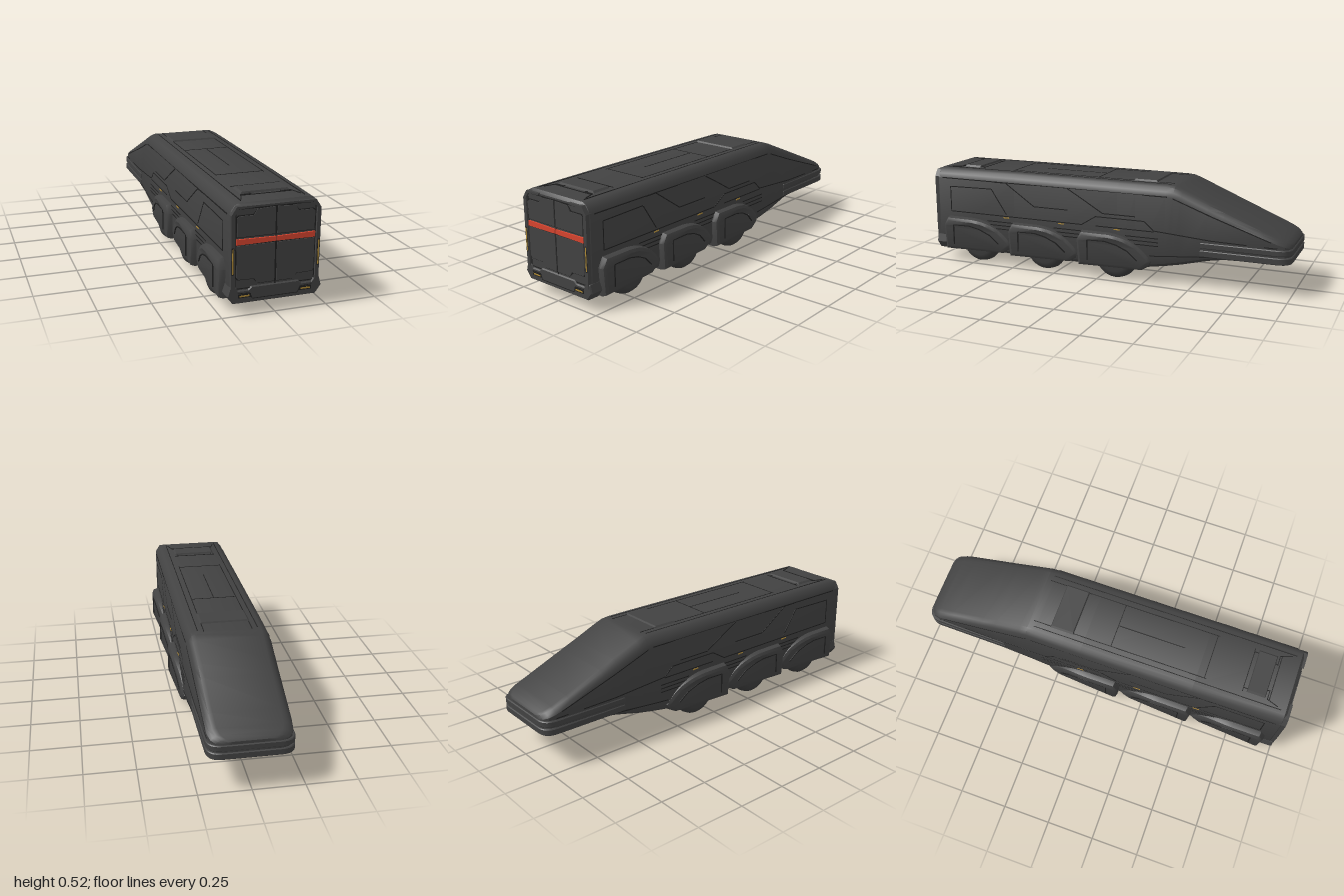
import * as THREE from 'three';
import { toCreasedNormals } from 'three/addons/utils/BufferGeometryUtils.js';

const mat = (name, color) => {
  const m = new THREE.MeshStandardMaterial({ color });
  m.name = name;
  return m;
};

// hull stations: z, bottom, top, half width
const STATIONS = [
  [0.99, 0.085, 0.505, 0.2], [0.975, 0.062, 0.518, 0.212], [0.5, 0.062, 0.52, 0.213],
  [-0.1, 0.062, 0.52, 0.213], [-0.2, 0.07, 0.52, 0.213], [-0.36, 0.097, 0.52, 0.211],
  [-0.4, 0.105, 0.517, 0.21], [-0.44, 0.113, 0.503, 0.209], [-0.58, 0.148, 0.445, 0.206],
  [-0.66, 0.162, 0.412, 0.205], [-0.85, 0.167, 0.333, 0.201], [-0.93, 0.17, 0.3, 0.197],
  [-0.965, 0.172, 0.284, 0.186], [-0.985, 0.176, 0.272, 0.165], [-0.994, 0.182, 0.262, 0.135],
];

function halfWidth(z) {
  for (let i = 0; i < STATIONS.length - 1; i++) {
    const a = STATIONS[i], b = STATIONS[i + 1];
    if (z <= a[0] && z >= b[0]) return THREE.MathUtils.lerp(a[3], b[3], (a[0] - z) / (a[0] - b[0]));
  }
  return 0.2;
}

// closed hull lofted through the stations
function hullGeometry() {
  const rows = STATIONS.map(([z, b, t, w]) => {
    const k = Math.min(1, (t - b) / 0.28);
    const right = [
      [w - 0.035, b], [w - 0.01, b + 0.018 * k], [w, b + 0.05 * k], [w, t - 0.055 * k],
      [w - 0.01, t - 0.03 * k], [w - 0.026, t - 0.009 * k], [w - 0.045, t],
    ];
    const left = right.map(([x, y]) => [-x, y]).reverse();
    return [...right, ...left].map(([x, y]) => [x, y, z]);
  });
  const n = rows[0].length, pos = rows.flat(2), idx = [];
  for (let i = 0; i < rows.length - 1; i++) {
    for (let j = 0; j < n; j++) {
      const a = i * n + j, b = i * n + (j + 1) % n;
      idx.push(a, a + n, b + n, a, b + n, b);
    }
  }
  const last = (rows.length - 1) * n;
  for (let j = 1; j < n - 1; j++) idx.push(0, j, j + 1, last, last + j + 1, last + j);
  const g = new THREE.BufferGeometry();
  g.setAttribute('position', new THREE.Float32BufferAttribute(pos, 3));
  g.setIndex(idx);
  return toCreasedNormals(g, 0.5);
}

const shapeOf = (pts) => new THREE.Shape(pts.map(([x, y]) => new THREE.Vector2(x, y)));

export function createModel() {
  const root = new THREE.Group();
  const body = mat('charcoal body', 0x424242);
  const seam = mat('dark seam', 0x202020);
  const red = mat('red stripe', 0xd8452f);
  const gold = mat('amber lamp', 0xb08a35);
  const tyre = mat('tyre rubber', 0x3c3c3c);

  const add = (name, geo, m, x = 0, y = 0, z = 0) => {
    const mesh = new THREE.Mesh(geo, m);
    mesh.name = name;
    mesh.position.set(x, y, z);
    root.add(mesh);
    return mesh;
  };
  const box = (name, m, w, h, d, x, y, z) => add(name, new THREE.BoxGeometry(w, h, d), m, x, y, z);

  // thin bar along each segment of a 3D path
  const groove = (name, pts, size = 0.005, m = seam) => {
    for (let i = 0; i < pts.length - 1; i++) {
      const a = new THREE.Vector3(...pts[i]), b = new THREE.Vector3(...pts[i + 1]);
      const mesh = box(name, m, size, size, a.distanceTo(b), 0, 0, 0);
      mesh.position.copy(a).lerp(b, 0.5);
      mesh.lookAt(b);
    }
  };
  // seam drawn on both flanks from (z, y) points
  const sideGroove = (name, pts, xAt = halfWidth) => {
    for (const s of [1, -1]) groove(name, pts.map(([z, y]) => [s * (xAt(z) - 0.001), y, z]));
  };

  add('hull', hullGeometry(), body);

  // nose rim: two bands with rounded plan corners
  for (const [y, h] of [[0.179, 0.026], [0.222, 0.022]]) {
    const s = new THREE.Shape();
    s.moveTo(-0.206, 0.55);
    s.lineTo(0.206, 0.55);
    s.lineTo(0.202, 0.93);
    s.quadraticCurveTo(0.2, 0.996, 0.135, 0.996);
    s.lineTo(-0.135, 0.996);
    s.quadraticCurveTo(-0.2, 0.996, -0.202, 0.93);
    const g = new THREE.ExtrudeGeometry(s, { depth: h, bevelThickness: 0.004, bevelSize: 0.004, bevelSegments: 1 });
    g.rotateX(-Math.PI / 2);
    add('noseBand', toCreasedNormals(g, 0.6), body, 0, y, 0);
  }

  // wheels and wheel arches
  const tyreProfile = [[0, -0.05], [0.075, -0.05], [0.098, -0.042], [0.111, -0.025], [0.116, 0],
    [0.111, 0.025], [0.098, 0.042], [0.075, 0.05], [0, 0.05]].map(([r, y]) => new THREE.Vector2(r, y));
  const tyreGeo = new THREE.LatheGeometry(tyreProfile, 32).rotateZ(Math.PI / 2);
  const fenderX = (z, rear) => THREE.MathUtils.lerp(0.248, 0.218, THREE.MathUtils.smoothstep(rear - z, 0.16, 0.42));
  for (const [wheelZ, rear] of [[0.73, 0.93], [0.325, 0.525], [-0.085, 0.115]]) {
    for (const s of [1, -1]) add('wheel', tyreGeo, tyre, s * 0.17, 0.12, wheelZ);
    const f = new THREE.Shape();
    f.moveTo(0.02, 0.085);
    f.lineTo(0.012, 0.2);
    f.lineTo(0.03, 0.232);
    f.lineTo(0.17, 0.232);
    f.bezierCurveTo(0.27, 0.225, 0.34, 0.18, 0.385, 0.12);
    f.lineTo(0.375, 0.105);
    f.lineTo(0.34, 0.085);
    const g = new THREE.ExtrudeGeometry(f, {
      depth: 0.44, bevelThickness: 0.028, bevelSize: 0.02, bevelSegments: 2, curveSegments: 10,
    });
    g.translate(0, 0, -0.22).rotateY(Math.PI / 2);
    const p = g.attributes.position;
    for (let i = 0; i < p.count; i++) p.setX(i, p.getX(i) * fenderX(rear + p.getZ(i), rear) / 0.248);
    add('wheelArch', toCreasedNormals(g, 0.6), body, 0, 0, rear);
    const arch = [[0.06, 0.1], [0.06, 0.21], [0.16, 0.212], [0.22, 0.198], [0.28, 0.168], [0.33, 0.12]];
    sideGroove('archSeam', arch.map(([u, y]) => [rear - u, y]), (z) => fenderX(z, rear));
    // slats in front of each arch
    for (const y of [0.205, 0.225, 0.245]) sideGroove('sideSlat', [[rear - 0.26, y], [rear - 0.44, y]]);
  }

  // flank seams
  sideGroove('beltSeam', [[0.9, 0.28], [0.1, 0.28], [0.02, 0.33], [-0.25, 0.33], [-0.3, 0.285], [-0.6, 0.262], [-0.93, 0.255]]);
  sideGroove('beltSeam', [[0.02, 0.28], [-0.3, 0.28]]);
  sideGroove('windowSeam', [[0.9, 0.28], [0.9, 0.42], [0.64, 0.425], [0.55, 0.29]]);
  sideGroove('panelSeam', [[0.62, 0.465], [0.55, 0.465], [0.38, 0.35], [0.18, 0.35]]);
  sideGroove('panelSeam', [[0.18, 0.465], [0.1, 0.42], [-0.02, 0.35], [-0.2, 0.35]]);
  sideGroove('roofSeam', [[0.95, 0.466], [-0.37, 0.466]]);
  sideGroove('skirtSeam', [[-0.28, 0.15], [-0.6, 0.178]]);
  sideGroove('cabSeam', [[-0.4, 0.46], [-0.6, 0.385], [-0.9, 0.282]]);
  for (const s of [1, -1]) {
    for (const z of [0.55, 0.22, -0.1]) box('sideMarker', gold, 0.004, 0.005, 0.035, s * 0.214, 0.272, z);
  }

  // roof panels
  const roof = (pts) => groove('roofPanelSeam', pts.map(([x, z]) => [x, 0.5195, z]), 0.004);
  for (const s of [1, -1]) {
    roof([[s * 0.15, 0.95], [s * 0.15, -0.37]]);
    roof([[s * 0.12, 0.55], [s * 0.12, -0.38]]);
    roof([[s * 0.1, 0.74], [s * 0.1, 0.8], [s * 0.07, 0.87], [s * 0.12, 0.87], [s * 0.14, 0.93]]);
  }
  for (const z of [0.04, 0.54, 0.74, 0.88]) roof([[-0.12, z], [0.12, z]]);
  roof([[0, 0.04], [0, 0.4]]);
  const hatch = (name, w, d, z) => {
    const g = new THREE.CylinderGeometry(Math.SQRT1_2 * 0.9, Math.SQRT1_2, 1, 4).rotateY(Math.PI / 4);
    add(name, g.scale(w, 0.012, d).toNonIndexed(), body, 0, 0.522, z).geometry.computeVertexNormals();
  };
  hatch('frontHatch', 0.26, 0.13, -0.225);
  hatch('rearHatch', 0.24, 0.1, 0.81);

  // double doors: dark surround with raised panels
  const plate = (name, pts, m, z, depth) => {
    for (const s of [1, -1]) {
      const q = pts.map(([x, y]) => [s * x, y]);
      add(name, new THREE.ExtrudeGeometry(shapeOf(q), { depth, bevelEnabled: false }), m, 0, 0, z);
    }
  };
  const upper = [[0.005, 0.37], [0.18, 0.37], [0.183, 0.455], [0.172, 0.464], [0.104, 0.464], [0.09, 0.49], [0.005, 0.494]];
  const lower = [[0.005, 0.15], [0.03, 0.15], [0.085, 0.15], [0.1, 0.173], [0.175, 0.175], [0.183, 0.185], [0.183, 0.33], [0.005, 0.33]];
  const grow = (pts) => {
    const cx = 0.092, cy = pts.reduce((a, p) => a + p[1], 0) / pts.length;
    return pts.map(([x, y]) => [x + Math.sign(x - cx) * 0.004, y + Math.sign(y - cy) * 0.004]);
  };
  for (const door of [upper, lower]) {
    plate('doorGap', grow(door), seam, 0.987, 0.006);
    plate('doorPanel', door, body, 0.988, 0.009);
  }
  plate('doorStripe', [[0.003, 0.336], [0.185, 0.334], [0.185, 0.36], [0.003, 0.357]], red, 0.99, 0.008);
  box('doorSplit', seam, 0.005, 0.37, 0.006, 0, 0.31, 0.99);

  // corner posts, bumper and lamps
  plate('cornerPost', [[0.19, 0.13], [0.208, 0.12], [0.21, 0.47], [0.185, 0.508], [0.1, 0.508], [0.105, 0.499], [0.175, 0.497], [0.192, 0.47]], body, 0.965, 0.035);
  groove('doorFrame', [[-0.187, 0.13, 0.99], [-0.187, 0.495, 0.99], [0.187, 0.495, 0.99], [0.187, 0.13, 0.99], [-0.187, 0.13, 0.99]], 0.004);
  const bumper = [[-0.195, 0.066], [0.195, 0.066], [0.22, 0.1], [0.21, 0.135], [0.188, 0.135], [0.178, 0.118], [0.125, 0.118],
    [0.11, 0.132], [-0.11, 0.132], [-0.125, 0.118], [-0.178, 0.118], [-0.188, 0.135], [-0.21, 0.135], [-0.22, 0.1]];
  add('bumper', new THREE.ExtrudeGeometry(shapeOf(bumper), { depth: 0.06, bevelThickness: 0.006, bevelSize: 0.005, bevelSegments: 1 }), body, 0, 0, 0.931);
  for (const s of [1, -1]) {
    box('lampRecess', seam, 0.06, 0.018, 0.004, s * 0.145, 0.097, 0.997);
    box('lowerLamp', gold, 0.046, 0.007, 0.004, s * 0.145, 0.096, 0.998);
    box('lampSlot', seam, 0.012, 0.125, 0.002, s * 0.202, 0.262, 1.0);
    box('cornerLamp', gold, 0.006, 0.115, 0.002, s * 0.202, 0.262, 1.001);
    groove('bumperSeam', [[s * 0.108, 0.08, 0.997], [s * 0.12, 0.108, 0.997], [s * 0.176, 0.11, 0.997]], 0.003);
  }
  groove('bumperSeam', [[-0.108, 0.08, 0.997], [0.108, 0.08, 0.997]], 0.003);
  return root;
}
